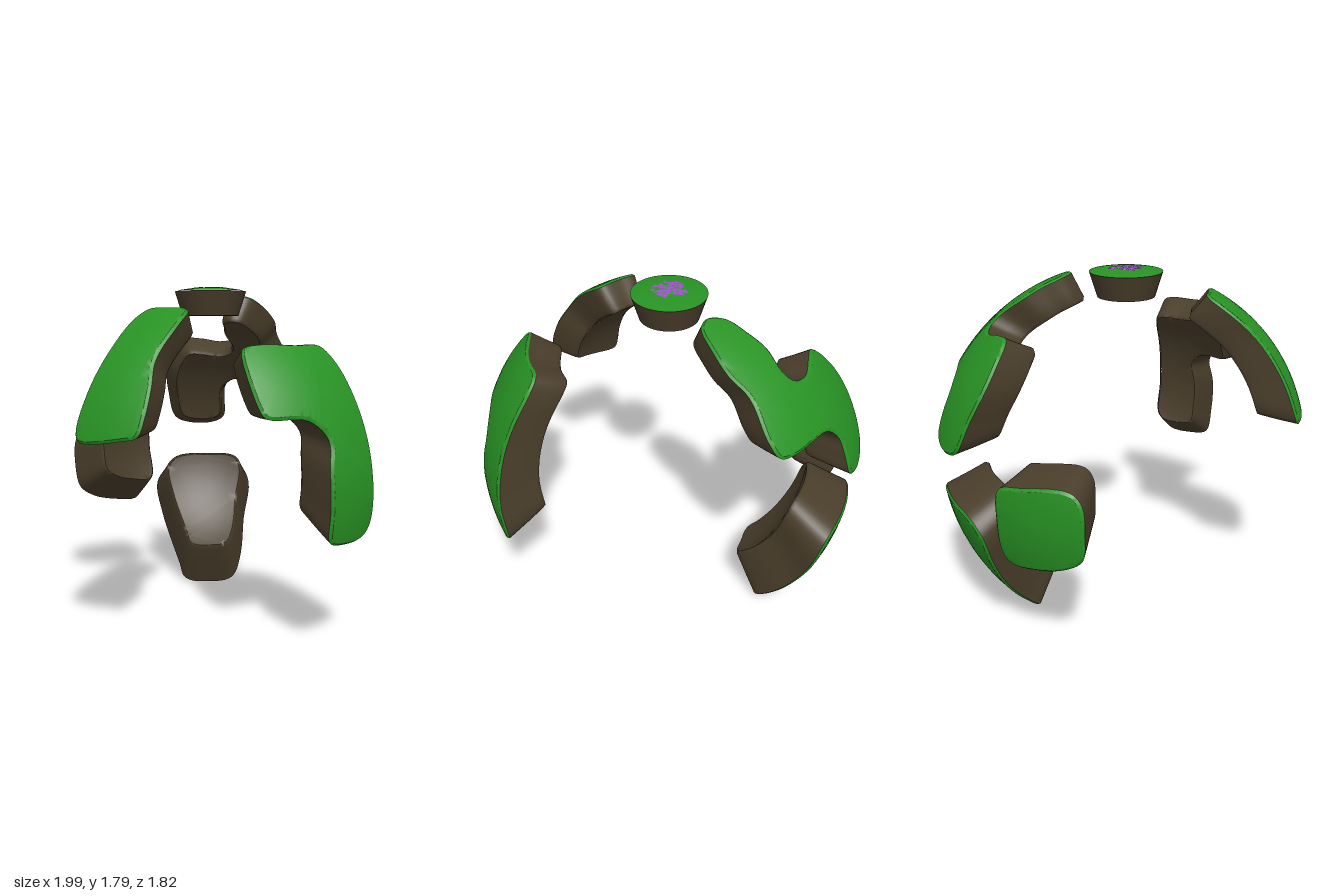
import * as THREE from 'three';
import { mergeVertices } from 'three/addons/utils/BufferGeometryUtils.js';

const CENTRE_Y = 0.85;
const V3 = (x, y, z) => new THREE.Vector3(x, y, z);

// Smooth indexed geometry from a list of triangle corner points
function smoothGeometry(points) {
  const g = new THREE.BufferGeometry().setFromPoints(points);
  const merged = mergeVertices(g, 1e-4);
  merged.computeVertexNormals();
  return merged;
}

// Split each triangle into four, several times over
function subdivide(tris, levels) {
  for (let l = 0; l < levels; l++) {
    const next = [];
    for (const [a, b, c] of tris) {
      const ab = a.clone().lerp(b, 0.5), bc = b.clone().lerp(c, 0.5), ca = c.clone().lerp(a, 0.5);
      next.push([a, ab, ca], [ab, b, bc], [ca, bc, c], [ab, bc, ca]);
    }
    tris = next;
  }
  return tris;
}

// A curved slab of shell: grassy outside, earthy sides and underside.
// The radius may flatten towards the pole.
function island(name, R, flatten, corners, grass, earth) {
  const dirs = corners.map((p) => V3(...p).normalize());
  const c = dirs.reduce((s, d) => s.add(d), V3(0, 0, 0)).normalize();
  const e1 = V3(0, 1, 0).cross(c).normalize();
  const e2 = c.clone().cross(e1);

  // Rounded outline, flattened on the tangent plane
  const curve = new THREE.CatmullRomCurve3(dirs, true, 'centripetal');
  const outline = curve.getPoints(corners.length * 5).slice(0, -1).map((p) => {
    const k = 1 / p.dot(c);
    return new THREE.Vector2(p.dot(e1) * k, p.dot(e2) * k);
  });
  if (THREE.ShapeUtils.isClockWise(outline)) outline.reverse();
  const n = outline.length;
  const inset = outline.map((p, i) => {
    const t = outline[(i + 1) % n].clone().sub(outline[(i + n - 1) % n]).normalize();
    return new THREE.Vector2(p.x - t.y * 0.016, p.y + t.x * 0.016);
  });

  // Place a flat point on the shell; depth 0 is the outside, 1 the inside.
  // The inside is a smaller sphere, raised a little.
  const place = (p, depth, drop = 0) => {
    const d = c.clone().addScaledVector(e1, p.x).addScaledVector(e2, p.y).normalize();
    const outer = d.clone().multiplyScalar(R - flatten * Math.max(0, d.y));
    const inner = outer.clone().multiplyScalar(0.765).add(V3(0, 0.07, 0));
    return outer.lerp(inner, depth).addScaledVector(d, -drop);
  };
  const strip = (out, high, low) => {
    for (let i = 0; i < n; i++) {
      const j = (i + 1) % n;
      out.push(low[i], low[j], high[j], low[i], high[j], high[i]);
    }
  };

  const faces = THREE.ShapeUtils.triangulateShape(inset, []).map((f) => f.map((i) => inset[i]));
  const fine = subdivide(faces, 3);
  const rings = [
    inset.map((p) => place(p, 0)),
    outline.map((p) => place(p, 0, 0.01)),
    outline.map((p) => place(p, 0.5)),
    outline.map((p) => place(p, 1, -0.02)),
    inset.map((p) => place(p, 1)),
  ];

  const top = [], body = [];
  for (const [a, b, d] of fine) {
    top.push(place(a, 0), place(b, 0), place(d, 0));
    body.push(place(a, 1), place(d, 1), place(b, 1));
  }
  strip(top, rings[0], rings[1]);
  for (let r = 1; r < 4; r++) strip(body, rings[r], rings[r + 1]);

  const group = new THREE.Group();
  group.name = name;
  const grassMesh = new THREE.Mesh(smoothGeometry(top), grass);
  grassMesh.name = 'grassSurface';
  const earthMesh = new THREE.Mesh(smoothGeometry(body), earth);
  earthMesh.name = 'earthBody';
  group.add(grassMesh, earthMesh);
  group.position.y = CENTRE_Y;
  return group;
}

// Outline points read on the side plane (z, y), pushed out to the sphere
const fromSide = (R, sign, pts) => pts.map(([z, y]) => {
  const h = y - CENTRE_Y;
  return [sign * Math.sqrt(R * R - z * z - h * h), h, z];
});
// Outline points read on the front plane (x, y)
const fromFront = (R, pts) => pts.map(([x, y]) => {
  const h = y - CENTRE_Y;
  return [x, h, Math.sqrt(R * R - x * x - h * h)];
});

export function createModel() {
  const grass = new THREE.MeshStandardMaterial({ color: 0x289324 });
  grass.name = 'grassGreen';
  const earth = new THREE.MeshStandardMaterial({ color: 0x4a3e2b });
  earth.name = 'earthBrown';
  const petal = new THREE.MeshStandardMaterial({ color: 0xa052cc, side: THREE.DoubleSide });
  petal.name = 'petalPurple';

  const model = new THREE.Group();
  model.name = 'floatingIslands';

  // Bent island on the +x side
  model.add(island('leftIsland', 0.995, 0.03, fromSide(0.98, 1, [
    [0.49, 1.47], [0.45, 1.515], [0.2, 1.525], [0.04, 1.52], [0, 1.46], [-0.01, 1.2], [-0.02, 0.9], [-0.03, 0.66],
    [0.02, 0.6], [0.15, 0.585], [0.26, 0.61], [0.285, 0.75], [0.29, 0.95], [0.27, 1.09],
    [0.35, 1.18], [0.53, 1.195], [0.545, 1.24],
  ]), grass, earth));

  // Tall island at the front
  model.add(island('frontIsland', 0.945, 0, fromFront(0.945, [
    [-0.07, 1.66], [-0.04, 1.695], [0.05, 1.7], [0.18, 1.69], [0.215, 1.62], [0.23, 1.45], [0.27, 1.33],
    [0.285, 1.2], [0.27, 1.11], [0.2, 1.09], [-0.05, 1.065], [-0.09, 1.1], [-0.085, 1.3], [-0.07, 1.5],
  ]), grass, earth));

  // Small island on the -x side
  model.add(island('rightIsland', 1.0, 0, fromSide(1.0, -1, [
    [-0.39, 0.56], [-0.4, 0.75], [-0.38, 0.92], [-0.25, 0.96], [0, 0.98], [0.06, 0.92],
    [0.07, 0.77], [0.05, 0.63], [-0.05, 0.56], [-0.2, 0.52], [-0.34, 0.51],
  ]), grass, earth));

  // Winding island across the back
  model.add(island('backIsland', 1.045, 0.07, [
    [-0.13, 0.92, -0.33], [-0.04, 0.93, -0.3], [0.025, 0.9, -0.34], [0.04, 0.84, -0.45],
    [0.03, 0.78, -0.58], [-0.02, 0.71, -0.69], [-0.03, 0.56, -0.83], [-0.07, 0.48, -0.89],
    [-0.16, 0.47, -0.9], [-0.3, 0.48, -0.87], [-0.42, 0.46, -0.82], [-0.5, 0.38, -0.81],
    [-0.52, 0.28, -0.83], [-0.54, 0.17, -0.84], [-0.61, 0.13, -0.8], [-0.71, 0.13, -0.7],
    [-0.77, 0.17, -0.63], [-0.78, 0.33, -0.57], [-0.75, 0.48, -0.51], [-0.67, 0.6, -0.47],
    [-0.56, 0.69, -0.46], [-0.48, 0.69, -0.54], [-0.4, 0.67, -0.62], [-0.31, 0.69, -0.65],
    [-0.26, 0.73, -0.61], [-0.24, 0.81, -0.5], [-0.19, 0.88, -0.42],
  ], grass, earth));

  // Low island at the back, on the -x side
  model.add(island('lowerIsland', 1.012, 0, [
    [-0.43, -0.16, -0.88], [-0.62, -0.14, -0.76], [-0.78, -0.16, -0.58], [-0.83, -0.25, -0.51],
    [-0.76, -0.45, -0.48], [-0.66, -0.61, -0.45], [-0.56, -0.74, -0.41], [-0.49, -0.8, -0.37],
    [-0.44, -0.83, -0.39], [-0.36, -0.84, -0.46], [-0.28, -0.835, -0.53], [-0.25, -0.8, -0.575],
    [-0.28, -0.69, -0.69], [-0.345, -0.476, -0.806], [-0.37, -0.25, -0.89],
  ], grass, earth));

  // Round island on top: tapered earth plug with a low grassy dome
  const cap = new THREE.Group();
  cap.name = 'topIsland';
  cap.position.z = -0.015;
  const plug = new THREE.Mesh(new THREE.CylinderGeometry(0.19, 0.15, 0.128, 48), earth);
  plug.name = 'earthPlug';
  plug.position.y = 1.724;
  const domeY = (r) => 1.81 - 0.55 * r * r;
  const profile = [];
  for (let i = 8; i >= 0; i--) profile.push(new THREE.Vector2(0.0238 * i, domeY(0.0238 * i)));
  const dome = new THREE.Mesh(new THREE.LatheGeometry(profile, 48), grass);
  dome.name = 'grassDome';

  // Scattered purple petals on the dome
  let seed = 7;
  const rand = () => (seed = (seed * 16807) % 2147483647) / 2147483647;
  const corners = [];
  for (let i = 0; i < 36; i++) {
    const a = i * 2.4 + rand() * 0.6, r = 0.082 * Math.sqrt((i + 0.5) / 36), turn = rand() * Math.PI * 2;
    for (let k = 0; k < 3; k++) {
      const t = turn + k * 2.1, s = 0.012 + 0.016 * rand();
      const x = Math.cos(a) * r + Math.cos(t) * s, z = Math.sin(a) * r - Math.sin(t) * s;
      corners.push(V3(x, domeY(Math.hypot(x, z)) + 0.002, z));
    }
  }
  const petalGeometry = new THREE.BufferGeometry().setFromPoints(corners);
  petalGeometry.computeVertexNormals();
  const petals = new THREE.Mesh(petalGeometry, petal);
  petals.name = 'flowerPetals';
  cap.add(plug, dome, petals);
  model.add(cap);

  return model;
}
